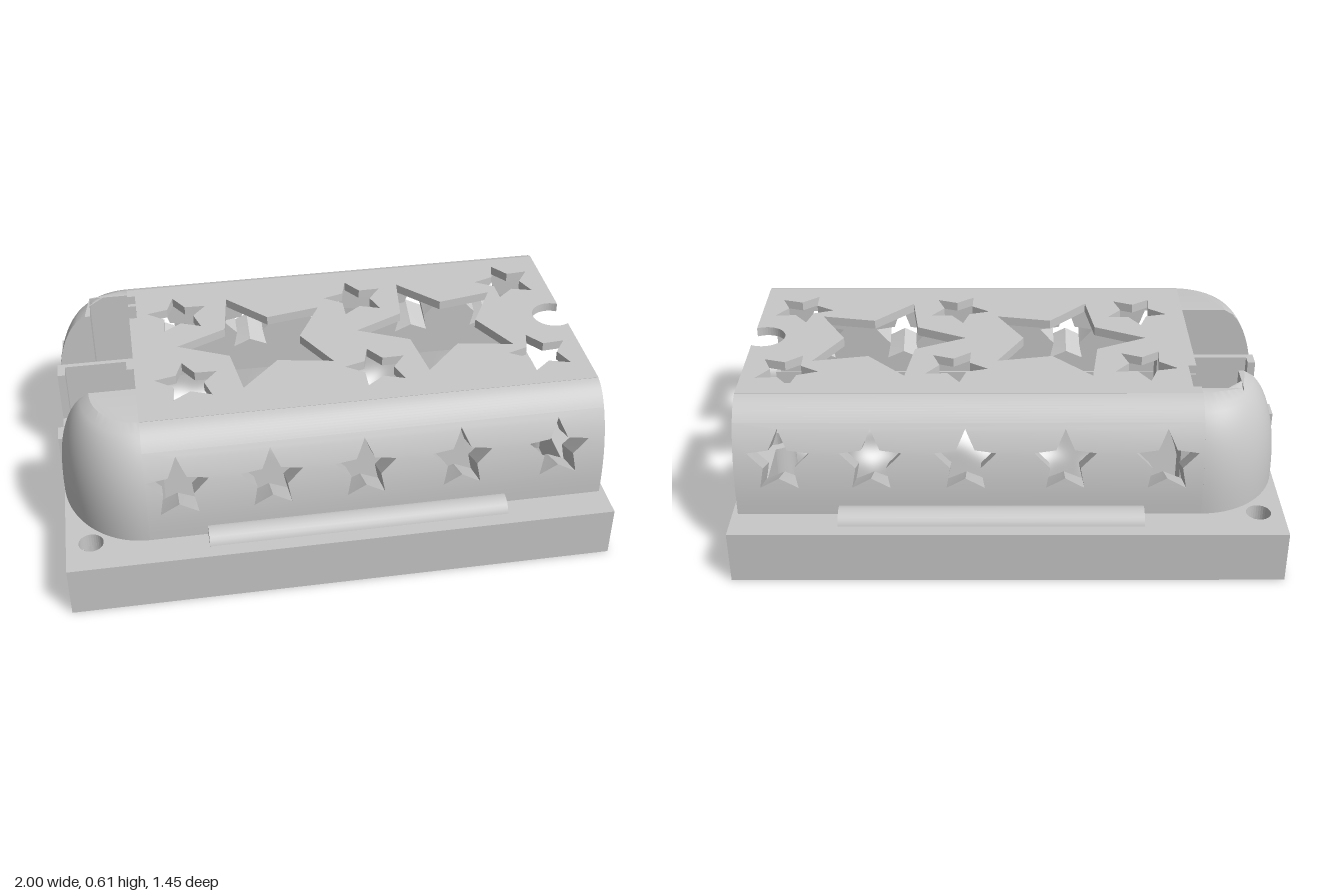
import * as THREE from 'three';
import { toCreasedNormals } from 'three/addons/utils/BufferGeometryUtils.js';

const grey = new THREE.MeshStandardMaterial({ color: 0xc8c8c8 });
grey.name = 'plain grey';

// Outer side of the cover: how far the wall leans inwards at height y, from 0 to 1
const lean = (y) => {
  const t = Math.min(1, Math.max(0, (y - 0.2) / 0.408));
  return 1 - Math.pow(1 - Math.pow(t, 2.5), 0.6);
};
const outerZ = (y) => 0.6 - 0.165 * lean(y);

const poly = (pts) => new THREE.Shape(pts.map(([x, y]) => new THREE.Vector2(x, y)));
const rect = (x0, x1, y0, y1) => poly([[x0, y0], [x1, y0], [x1, y1], [x0, y1]]);

function star(cx, cy, r, turn) {
  const pts = [];
  for (let i = 0; i < 10; i++) {
    const a = turn + (i * Math.PI) / 5, d = i % 2 ? r * 0.49 : r;
    pts.push([cx + d * Math.cos(a), cy + d * Math.sin(a)]);
  }
  return poly(pts);
}

function circle(x, y, r) {
  return new THREE.Path().absarc(x, y, r, 0, Math.PI * 2, true);
}

// Upright slab from an (x, z) outline
function slab(shape, y0, y1, steps = 1) {
  const g = new THREE.ExtrudeGeometry(shape, { depth: y1 - y0, bevelEnabled: false, steps, curveSegments: 16 });
  return g.rotateX(Math.PI / 2).translate(0, y1, 0);
}

// Bar running along x from a (-z, y) outline
function bar(shape, x0, x1) {
  const g = new THREE.ExtrudeGeometry(shape, { depth: x1 - x0, bevelEnabled: false, curveSegments: 20 });
  return g.rotateY(Math.PI / 2).translate(x0, 0, 0);
}

// Keep the part of a polygon on one side of a height
function clip(pts, level, sign) {
  const out = [];
  pts.forEach((a, i) => {
    const b = pts[(i + 1) % pts.length];
    const da = sign * (a.y - level), db = sign * (b.y - level);
    if (da >= 0) out.push(a);
    if (da * db < 0) out.push(a.clone().lerp(b, da / (da - db)));
  });
  return out;
}

// Side wall cut into level bands and bent to the cover's curve; its star holes slope down inwards
function sideWall(side, starXs) {
  const y0 = 0.2, y1 = 0.54, bands = 12;
  const shape = rect(-0.7, 0.98, y0, y1);
  starXs.forEach((x) => shape.holes.push(star(side * x + (side < 0 ? 0.28 : 0), 0.405, 0.117, Math.PI / 2)));
  const flat = new THREE.ExtrudeGeometry(shape, { depth: 1, bevelEnabled: false });
  const src = (flat.index ? flat.toNonIndexed() : flat).attributes.position;
  const pos = [];
  for (let i = 0; i < src.count; i += 3) {
    const tri = [0, 1, 2].map((k) => new THREE.Vector3().fromBufferAttribute(src, i + k));
    for (let b = 0; b < bands; b++) {
      const lo = y0 + ((y1 - y0) * b) / bands, hi = y0 + ((y1 - y0) * (b + 1)) / bands;
      const p = clip(clip(tri, lo, 1), hi, -1);
      for (let k = 1; k + 1 < p.length; k++) {
        for (const v of [p[0], p[k], p[k + 1]]) {
          const sink = 0.05 * (1 - v.z) * Math.sin((Math.PI * (v.y - y0)) / (y1 - y0));
          pos.push(v.x, v.y - sink, 0.47 + v.z * (outerZ(v.y) - 0.47));
        }
      }
    }
  }
  const g = new THREE.BufferGeometry();
  g.setAttribute('position', new THREE.Float32BufferAttribute(pos, 3));
  if (side < 0) g.rotateY(Math.PI).translate(0.28, 0, 0);
  return toCreasedNormals(g, 0.4);
}

// Rounded end corner, leaning inwards as it rises; notch cuts a shaft beside it
function endCorner(side, z0, notch) {
  const rx = 0.3, rz = 0.6 - z0, pts = [];
  for (let i = 0; i <= 20; i++) {
    const a = (i / 20) * Math.PI / 2;
    pts.push([-0.7 - rx * Math.sin(a), side * (z0 + rz * Math.cos(a))]);
  }
  if (notch) pts.push([-0.85, side * z0], [-0.85, side * 0.4], [-0.7, side * 0.4]);
  else pts.push([-0.7, side * z0]);
  const g = slab(poly(pts), 0.2, 0.61, 20);
  const p = g.attributes.position;
  for (let i = 0; i < p.count; i++) {
    const ex = (p.getX(i) + 0.7) / rx, ez = (side * p.getZ(i) - z0) / rz;
    if (Math.hypot(ex, ez) < 0.97) continue;
    const t = lean(p.getY(i));
    p.setX(i, -0.7 + ex * (rx - 0.13 * t));
    p.setZ(i, side * (z0 + ez * (rz - 0.165 * t)));
  }
  return toCreasedNormals(g, 0.5);
}

export function createModel() {
  const model = new THREE.Group();
  const base = new THREE.Group(), cover = new THREE.Group();
  base.name = 'base';
  cover.name = 'cover';
  cover.position.z = 0.006;
  model.add(base, cover);
  const add = (parent, name, geometry) => {
    const m = new THREE.Mesh(geometry, grey);
    m.name = name;
    parent.add(m);
  };
  const box = (parent, name, x0, x1, y0, y1, z0, z1) =>
    add(parent, name, new THREE.BoxGeometry(x1 - x0, y1 - y0, z1 - z0)
      .translate((x0 + x1) / 2, (y0 + y1) / 2, (z0 + z1) / 2));

  // Base plate, open in the middle and at the right end
  const plate = poly([[-1, -0.725], [1, -0.725], [1, -0.47], [-0.67, -0.47], [-0.67, -0.4], [-0.85, -0.4],
    [-0.85, -0.24], [-0.67, -0.24], [-0.67, 0.47], [1, 0.47], [1, 0.725], [-1, 0.725]]);
  for (const s of [-1, 1]) plate.holes.push(circle(-0.91, s * 0.587, 0.045));
  add(base, 'basePlate', slab(plate, 0.145, 0.2));

  // Skirt walls on three sides
  add(base, 'skirt', slab(poly([[0.93, -0.725], [0.93, -0.665], [-0.94, -0.665], [-0.94, 0.665], [0.93, 0.665],
    [0.93, 0.725], [-1, 0.725], [-1, -0.725]]), 0, 0.145));

  // Right end wall, lower than the plate, with a screw boss and two arches
  const middle = new THREE.Shape();
  middle.moveTo(1, -0.28);
  middle.lineTo(1, 0.28);
  middle.lineTo(0.925, 0.28);
  middle.lineTo(0.925, 0.089);
  middle.absarc(0.94, 0.01, 0.08, 1.76, Math.PI * 2 - 1.76, false);
  middle.lineTo(0.925, -0.28);
  middle.holes.push(circle(0.94, 0.01, 0.045));
  add(base, 'endBar', slab(middle, 0, 0.145));
  for (const s of [-1, 1]) {
    const arch = [[0.725, 0], [0.725, 0.145], [0.28, 0.145]];
    for (let i = 0; i <= 20; i++) {
      const a = Math.PI * (1 - i / 20);
      arch.push([0.445 + 0.165 * Math.cos(a), 0.103 * Math.sin(a)]);
    }
    add(base, 'endArch', bar(poly(arch.map(([u, y]) => [s * u, y])), 0.925, 1));

    // Screw posts and the rounded rails along the long sides
    const post = new THREE.Shape().absarc(-0.91, s * 0.587, 0.057, 0, Math.PI * 2);
    post.holes.push(circle(-0.91, s * 0.587, 0.045));
    add(base, 'screwPost', toCreasedNormals(slab(post, 0, 0.145), 0.6));
    add(base, 'sideRail', new THREE.CylinderGeometry(0.06, 0.06, 1.1, 28)
      .rotateZ(Math.PI / 2).translate(0.06, 0.181, s * 0.617));
  }

  // Cover side walls, the curved shoulders above them and a rib inside each
  const starXs = { front: [-0.585, -0.25, 0.09, 0.445, 0.807], back: [-0.57, -0.205, 0.152, 0.49, 0.82] };
  for (const s of [-1, 1]) {
    const side = s > 0 ? 'front' : 'back';
    add(cover, side + 'Wall', sideWall(s, starXs[side]));
    const pts = [[0.39, 0.61], [0.39, 0.575], [0.37, 0.575], [0.37, 0.54], [0.47, 0.54]];
    for (let i = 0; i <= 12; i++) {
      const y = 0.61 - 0.07 * Math.pow(1 - i / 12, 1.6);
      pts.push([outerZ(y), y]);
    }
    add(cover, side + 'Shoulder', toCreasedNormals(bar(poly(pts.map(([u, y]) => [-s * u, y])), -0.7, 0.98), 0.4));
    box(cover, side + 'Rib', -0.66, -0.63, 0.18, 0.545, s > 0 ? 0.37 : -0.475, s > 0 ? 0.475 : -0.37);
  }

  // Roof with large and small star holes and a round notch at the right edge
  const roof = new THREE.Shape();
  roof.moveTo(-0.7, -0.39);
  roof.lineTo(0.98, -0.39);
  roof.lineTo(0.98, -0.065);
  roof.absarc(0.94, 0.004, 0.08, -Math.PI / 3, Math.PI / 3, true);
  roof.lineTo(0.98, 0.39);
  roof.lineTo(-0.7, 0.39);
  roof.lineTo(-0.7, -0.23);
  roof.lineTo(-0.67, -0.23);
  roof.lineTo(-0.67, -0.388);
  roof.lineTo(-0.7, -0.388);
  for (const x of [-0.215, 0.477]) roof.holes.push(star(x, -0.008, 0.315, Math.PI));
  for (const [x, z] of [[-0.51, -0.225], [0.195, -0.235], [0.82, -0.262], [-0.51, 0.222], [0.195, 0.24], [0.82, 0.245]])
    roof.holes.push(star(x, z, 0.122, x < 0 ? 3.35 : x < 0.5 ? 3.3 : 3.25));
  add(cover, 'roof', slab(roof, 0.575, 0.61));

  // Left end wall with a slot, and the two rounded corners
  box(cover, 'endWall', -0.7, -0.66, 0.18, 0.576, -0.24, 0.47);
  box(cover, 'endWallStrip', -0.7, -0.66, 0.18, 0.576, -0.47, -0.4);
  add(cover, 'frontCorner', endCorner(1, 0.235, false));
  add(cover, 'backCorner', endCorner(-1, 0.27, true));

  // Open connector bracket between the corners
  box(base, 'bracketWall', -0.98, -0.7, 0.2, 0.41, -0.24, -0.22);
  box(base, 'bracketWall', -0.98, -0.7, 0.2, 0.41, 0.21, 0.235);
  for (const [z0, z1] of [[-0.24, -0.165], [0.165, 0.235]]) {
    box(base, 'bracketFrontLip', -1, -0.97, 0.2, 0.41, z0, z1);
    box(base, 'bracketBackLip', -0.73, -0.7, 0.2, 0.41, z0, z1);
  }
  return model;
}
